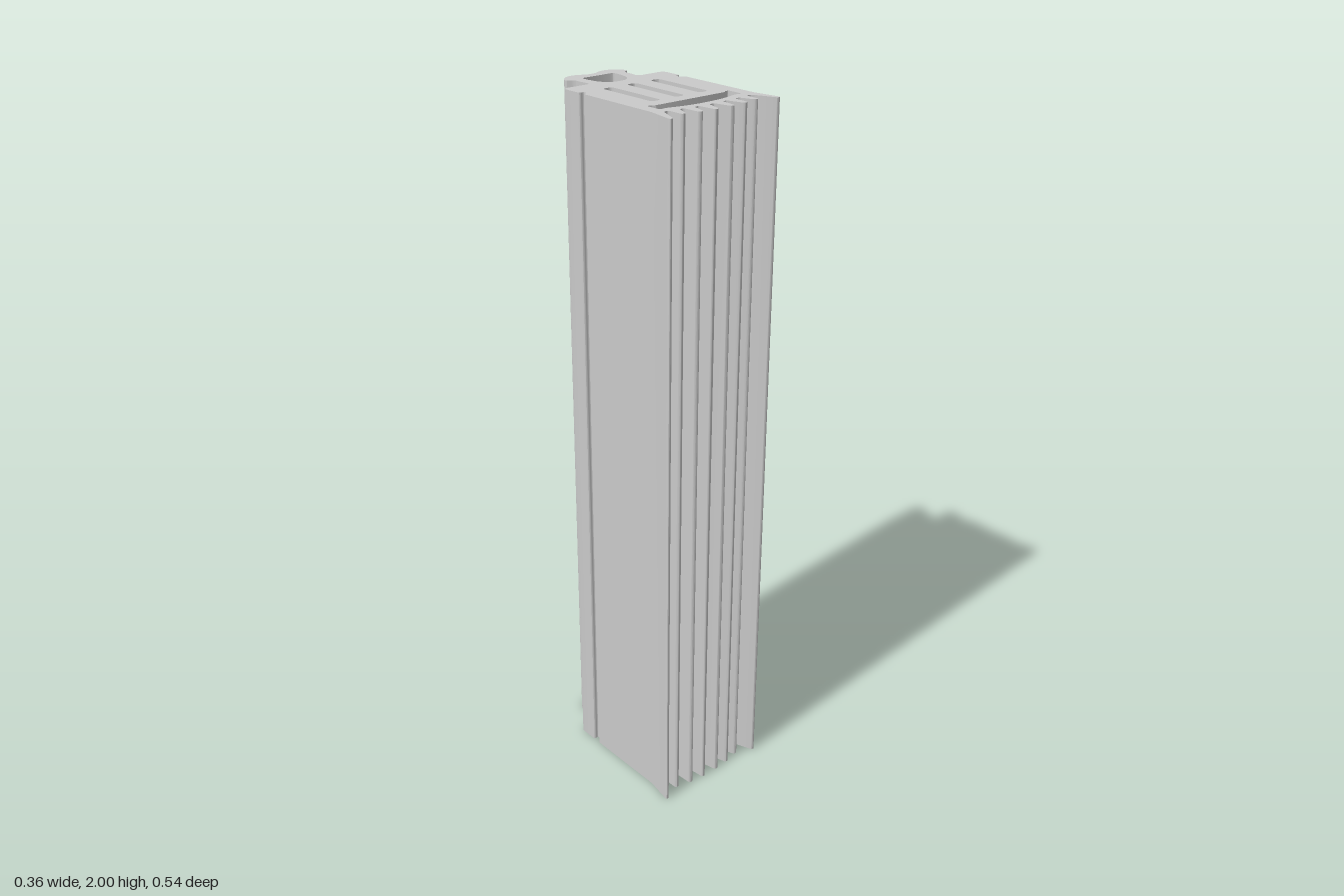
import * as THREE from 'three';
import { toCreasedNormals } from 'three/addons/utils/BufferGeometryUtils.js';

const HEIGHT = 2;

// Closed outline from [x, z, cornerRadius] points, each corner eased by a curve.
function trace(path, pts) {
  const n = pts.length;
  const v = pts.map(([x, z]) => new THREE.Vector2(x, -z));
  for (let i = 0; i < n; i++) {
    const p = v[i], a = v[(i + n - 1) % n], b = v[(i + 1) % n];
    const ease = (q) => {
      const d = p.distanceTo(q);
      return p.clone().lerp(q, Math.min(pts[i][2] || 0, d / 2) / d);
    };
    const s = ease(a), e = ease(b);
    if (i === 0) path.moveTo(s.x, s.y);
    else path.lineTo(s.x, s.y);
    if (pts[i][2]) path.quadraticCurveTo(p.x, p.y, e.x, e.y);
  }
  path.closePath();
  return path;
}

// Completes a right half outline with its mirror image.
const mirror = (half) => [...half, ...half.map(([x, z, r]) => [-x, z, r]).reverse()];

export function createModel() {
  const group = new THREE.Group();
  group.name = 'extrudedSealStrip';
  const grey = new THREE.MeshStandardMaterial({ color: 0xcacaca });
  grey.name = 'light grey';

  // Right half of the outer profile, from the back middle to the front middle
  const outer = mirror([
    // double-humped head
    [0.017, -0.254, 0.012], [0.037, -0.268, 0.02], [0.068, -0.268, 0.02],
    [0.088, -0.256, 0.012], [0.102, -0.236, 0.007], [0.101, -0.226, 0.006],
    // neck and shoulder
    [0.083, -0.216, 0.007], [0.082, -0.182, 0.004], [0.08, -0.174, 0.004],
    [0.081, -0.156, 0.015], [0.167, -0.156, 0.016],
    // side notch
    [0.167, -0.09, 0.007], [0.152, -0.09, 0.005], [0.152, -0.081, 0.004], [0.167, -0.066],
    // outer lip
    [0.167, 0.186], [0.181, 0.267, 0.008], [0.17, 0.268, 0.008],
    [0.143, 0.201, 0.012], [0.127, 0.201, 0.01],
    // teeth and the valleys between them
    [0.126, 0.247, 0.008], [0.113, 0.248, 0.008], [0.097, 0.206, 0.008], [0.083, 0.206, 0.008],
    [0.08, 0.257, 0.008], [0.067, 0.258, 0.007], [0.053, 0.211, 0.007], [0.039, 0.209, 0.008],
    [0.033, 0.262, 0.008], [0.02, 0.262, 0.008], [0.008, 0.213, 0.007],
  ]);
  // Counter-clockwise outline, so the hole walls face inward
  const shape = trace(new THREE.Shape(), outer.reverse());

  // Rounded channel through the head
  shape.holes.push(trace(new THREE.Path(), mirror([
    [0.053, -0.226, 0.01], [0.053, -0.2, 0.012], [0.047, -0.165, 0.014],
    [0.035, -0.146, 0.013], [0.016, -0.135, 0.016],
  ])));

  // Three long slots
  for (const x of [-0.078, 0, 0.078]) {
    const w = 0.015, r = 0.013;
    shape.holes.push(trace(new THREE.Path(), [
      [x - w, -0.09, r], [x + w, -0.09, r], [x + w, 0.101, r], [x - w, 0.101, r],
    ]));
  }

  // Curved cavity behind the teeth
  shape.holes.push(trace(new THREE.Path(), mirror([
    [0.114, 0.138, 0.006], [0.121, 0.131, 0.006], [0.134, 0.13, 0.01], [0.134, 0.178, 0.009],
    [0.112, 0.175, 0.008], [0.075, 0.185, 0.03], [0.03, 0.191, 0.04],
  ])));

  const geometry = new THREE.ExtrudeGeometry(shape, {
    depth: HEIGHT, bevelEnabled: false, curveSegments: 6,
  });
  geometry.rotateX(-Math.PI / 2);
  const strip = new THREE.Mesh(toCreasedNormals(geometry, 0.6), grey);
  strip.name = 'stripProfile';
  group.add(strip);
  return group;
}
